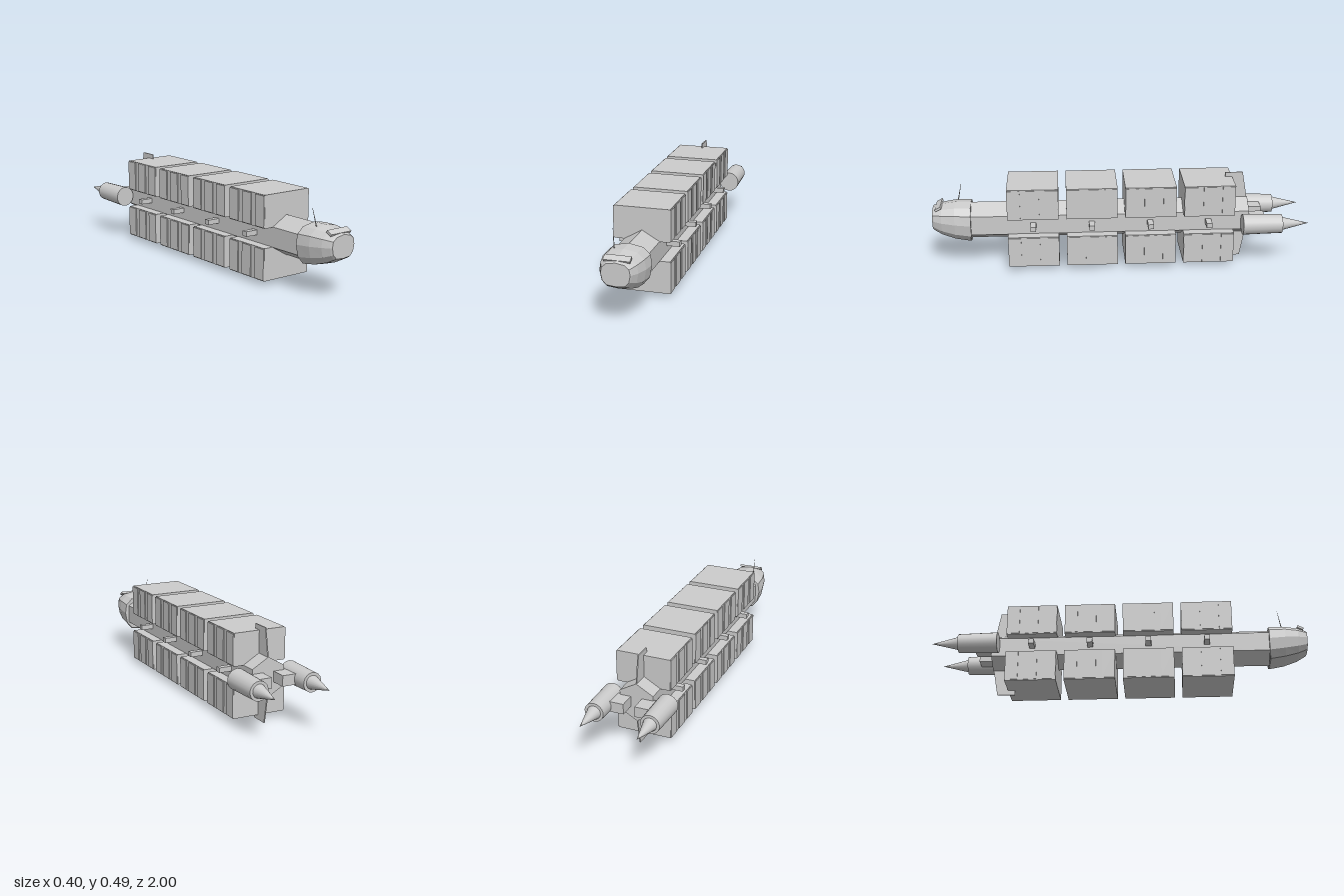
import * as THREE from 'three';

const grey = new THREE.MeshStandardMaterial({ color: 0xcccccc });
const faceted = new THREE.MeshStandardMaterial({ color: 0xcccccc, flatShading: true });
const MID = 0.247; // height of the ship's axis

function add(parent, name, geometry, x = 0, y = 0, z = 0, material = grey) {
  const mesh = new THREE.Mesh(geometry, material);
  mesh.name = name;
  mesh.position.set(x, y, z);
  parent.add(mesh);
  return mesh;
}

const box = (w, h, d) => new THREE.BoxGeometry(w, h, d);

// Skin through equal-length rings ordered back to front, each counter-clockwise from the front
function loft(rings) {
  const n = rings[0].length;
  const pos = rings.flat(2);
  const index = [];
  for (let i = 0; i < rings.length - 1; i++) {
    for (let k = 0; k < n; k++) {
      const a = i * n + k, b = i * n + (k + 1) % n;
      index.push(a, b, b + n, a, b + n, a + n);
    }
  }
  const last = (rings.length - 1) * n;
  for (let k = 1; k < n - 1; k++) {
    index.push(0, k + 1, k, last, last + k, last + k + 1);
  }
  const g = new THREE.BufferGeometry();
  g.setAttribute('position', new THREE.Float32BufferAttribute(pos, 3));
  g.setIndex(index);
  g.computeVertexNormals();
  return g;
}

// Cabin: a rounded 12-sided section, tapering and rising towards the nose
function cabinGeometry() {
  const half = [[0, -1], [0.62, -0.92], [0.9, -0.55], [1, 0.05], [0.93, 0.55], [0.62, 0.87], [0, 1]];
  const section = [...half, ...half.slice(1, -1).reverse().map(([x, y]) => [-x, y])];
  // z, half width, bottom, top
  const stations = [
    [0.795, 0.112, 0.150, 0.350],
    [0.80, 0.113, 0.146, 0.353],
    [0.88, 0.109, 0.160, 0.353],
    [0.95, 0.094, 0.183, 0.343],
    [0.99, 0.077, 0.205, 0.331],
    [1.0, 0.071, 0.212, 0.327],
  ];
  return loft(stations.map(([z, w, lo, hi]) =>
    section.map(([x, y]) => [x * w, (lo + hi) / 2 + y * (hi - lo) / 2, z])));
}

// Cargo container with three raised panels on each flank
function container(y, z) {
  const group = new THREE.Group();
  group.name = 'container';
  group.position.set(0, y, z);
  add(group, 'containerBody', box(0.284, 0.168, 0.27));
  for (const side of [-1, 1]) {
    for (const dz of [-0.1, 0, 0.1]) {
      add(group, 'sidePanel', box(0.006, 0.16, 0.068), side * 0.144, 0, dz);
    }
  }
  return group;
}

function engine(side) {
  const group = new THREE.Group();
  group.name = side > 0 ? 'leftEngine' : 'rightEngine';
  group.position.set(side * 0.147, MID, 0);
  const body = new THREE.CylinderGeometry(0.05, 0.055, 0.21, 18).rotateX(-Math.PI / 2);
  add(group, 'engineBody', body, 0, 0, -0.75);
  const cone = new THREE.ConeGeometry(0.036, 0.147, 18).rotateX(-Math.PI / 2);
  add(group, 'engineCone', cone, 0, 0, -0.9265);
  // Block joining the engine to the hull
  add(group, 'enginePylon', box(0.085, 0.055, 0.095), side * -0.0745, 0, -0.7275);
  return group;
}

// Thin tail fin; dir is +1 above the hull and -1 below
function finGeometry(dir) {
  const s = new THREE.Shape();
  s.moveTo(0.567, 0.05 * dir);
  s.lineTo(0.685, 0.05 * dir);
  s.lineTo(0.685, 0.11 * dir);
  s.lineTo(0.661, 0.243 * dir);
  s.lineTo(0.567, 0.243 * dir);
  s.closePath();
  return new THREE.ExtrudeGeometry(s, { depth: 0.006, bevelEnabled: false })
    .translate(0, 0, -0.003).rotateY(Math.PI / 2);
}

export function createModel() {
  const model = new THREE.Group();
  model.name = 'cargoShip';

  // Hexagonal spine
  const spine = new THREE.CylinderGeometry(0.103, 0.103, 1.49, 6).rotateX(Math.PI / 2);
  add(model, 'spine', spine, 0, MID, 0.055, faceted);

  // Cabin, brow and aerial
  add(model, 'cabin', cabinGeometry(), 0, 0, 0, faceted);
  const brow = add(model, 'windowBrow', box(0.13, 0.012, 0.034), 0, 0.336, 0.967);
  brow.rotation.x = 0.5;
  const aerial = add(model, 'aerial', new THREE.CylinderGeometry(0.0008, 0.0028, 0.092, 6),
    -0.055, 0.392, 0.858);
  aerial.rotation.set(-0.2, 0, 0.12);

  // Four rows of containers with a clamp bar between each pair
  for (const z of [0.465, 0.154, -0.157, -0.469]) {
    model.add(container(0.381, z), container(0.113, z));
    add(model, 'clampBar', box(0.314, 0.026, 0.03), 0, MID + 0.001, z);
  }

  for (const dir of [1, -1]) {
    add(model, dir > 0 ? 'upperFin' : 'lowerFin', finGeometry(dir), 0, MID, 0);
    model.add(engine(dir));
  }
  return model;
}
